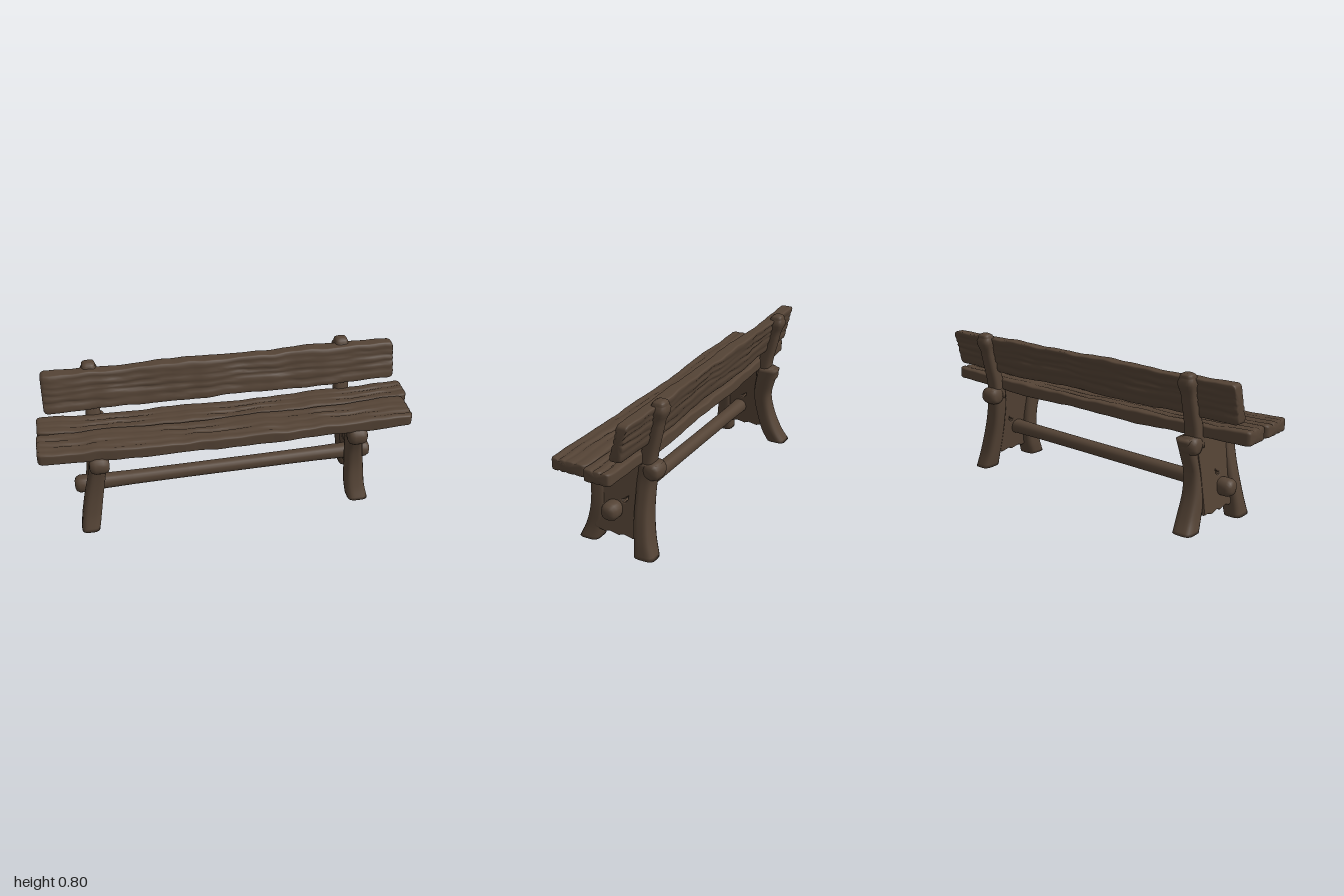
import * as THREE from 'three';

const wood = new THREE.MeshStandardMaterial({ color: 0x544335 });
wood.name = 'darkWood';

// Smooth closed loft. Stations: { p, u, v, hu, hv } = position on the axis, centre and half sizes.
// Axis 'x' uses u = z, v = y; axis 'y' uses u = x, v = z. n sets how square the section is.
function loft(name, axis, stations, { n = 2, sides = 16, carve } = {}) {
  const pos = [], index = [];
  const put = (p, u, v) => (axis === 'x' ? pos.push(p, v, u) : pos.push(u, p, v));
  for (const st of stations) {
    for (let j = 0; j < sides; j++) {
      const a = (j / sides) * Math.PI * 2, c = Math.cos(a), s = Math.sin(a);
      const r = 1 / Math.pow(Math.abs(c) ** n + Math.abs(s) ** n, 1 / n);
      const [du, dv] = carve ? carve(st.p, c * r, s * r) : [0, 0];
      put(st.p, st.u + c * r * st.hu + du, st.v + s * r * st.hv + dv);
    }
  }
  for (let i = 0; i < stations.length - 1; i++) {
    for (let j = 0; j < sides; j++) {
      const a = i * sides + j, b = i * sides + (j + 1) % sides;
      index.push(a, a + sides, b, b, a + sides, b + sides);
    }
  }
  const first = stations[0], last = stations[stations.length - 1];
  const c0 = stations.length * sides, end = c0 - sides;
  put(first.p, first.u, first.v);
  put(last.p, last.u, last.v);
  for (let j = 0; j < sides; j++) {
    const k = (j + 1) % sides;
    index.push(c0, j, k, c0 + 1, end + k, end + j);
  }
  const g = new THREE.BufferGeometry();
  g.setAttribute('position', new THREE.Float32BufferAttribute(pos, 3));
  g.setIndex(index);
  g.computeVertexNormals();
  const mesh = new THREE.Mesh(g, wood);
  mesh.name = name;
  return mesh;
}

const wave = (x, k) => 0.5 * Math.sin(7 * x + k) + 0.3 * Math.sin(17 * x + 2.3 * k) + 0.2 * Math.sin(37 * x + 4.1 * k);

// Weathered plank along x with rounded ends, uneven edges and lengthwise cracks
function plank(name, x0, x1, z, y, hz, hy, { seed, sag = 0, lean = 0, wob = 0.005, face = 'top', cracks = [] }) {
  const stations = [], N = 64;
  const add = (p, k) => stations.push({
    p, u: z + 0.004 * wave(p, seed), v: y + sag * p * p + 0.003 * wave(p, seed + 1),
    hu: (hz + wob * wave(p * 1.3, seed + 2)) * k, hv: (hy + wob * wave(p * 1.3, seed + 3)) * k,
  });
  add(x0, 0.8);
  add(x0 + 0.006, 0.93);
  for (let i = 0; i <= N; i++) add(x0 + 0.02 + (x1 - x0 - 0.04) * i / N, 1);
  add(x1 - 0.006, 0.93);
  add(x1, 0.8);
  const carve = (p, a, b) => {
    const across = face === 'top' ? a : b, out = face === 'top' ? b : a;
    let d = 0;
    for (const c of cracks) {
      const q = (across - c - 0.1 * wave(p, c * 9)) / 0.08;
      d -= 0.009 * Math.exp(-q * q) * (0.7 + 0.3 * Math.sin(9 * p + c * 20));
    }
    d = Math.abs(out) > 0.8 ? d * Math.sign(out) : 0;
    return face === 'top' ? [0, d] : [d - lean * b, 0];
  };
  return loft(name, 'x', stations, { n: 9, sides: 72, carve });
}

// Upright post from rows of [y, x, z, half width, half depth], smoothed by a spline
function post(name, side, rows) {
  const curve = new THREE.CatmullRomCurve3(rows.map(r => new THREE.Vector3(r[1], r[0], r[2])));
  const size = new THREE.CatmullRomCurve3(rows.map(r => new THREE.Vector3(r[3], r[4], 0)));
  const stations = [], N = 24;
  for (let i = 0; i <= N; i++) {
    const c = curve.getPoint(i / N), h = size.getPoint(i / N);
    stations.push({ p: c.y, u: side * c.x, v: c.z, hu: h.x, hv: h.y });
  }
  return loft(name, 'y', stations, { n: 4, sides: 24 });
}

// Rounded wooden bar along x from rows of [x, radius]
function bar(name, rows, yAt, z, n = 2.4) {
  return loft(name, 'x', rows.map(([p, r]) => ({ p, u: z, v: yAt(p), hu: r, hv: r })), { n, sides: 20 });
}

// Trestle panel between two posts, with a knot hole and a ragged lower edge
function panel(side) {
  const s = new THREE.Shape();
  s.moveTo(-0.13, 0.09);
  for (let i = 1; i <= 10; i++) s.lineTo(-0.13 + 0.026 * i, 0.085 + 0.006 * Math.sin(i * 2.1));
  s.lineTo(0.14, 0.3);
  s.lineTo(0.17, 0.475);
  s.lineTo(-0.15, 0.475);
  s.lineTo(-0.135, 0.3);
  s.closePath();
  const hole = new THREE.Path();
  const hz = side > 0 ? -0.026 : 0.0;
  hole.setFromPoints([[-0.024, 0.022], [-0.022, -0.01], [-0.006, -0.026], [0.014, -0.024], [0.024, -0.004], [0.0, 0.006]]
    .map(([a, b]) => new THREE.Vector2(hz + a, 0.27 + b)));
  s.holes.push(hole);
  const g = new THREE.ExtrudeGeometry(s, { depth: 0.04, bevelSize: 0.008, bevelThickness: 0.008, bevelSegments: 2 });
  g.translate(0, 0, -0.02).rotateY(-Math.PI / 2);
  const p = g.attributes.position;
  for (let i = 0; i < p.count; i++) p.setX(i, p.getX(i) + side * (0.675 + 0.06 * (1 - p.getY(i) / 0.47)));
  g.computeVertexNormals();
  const mesh = new THREE.Mesh(g, wood);
  mesh.name = 'trestlePanel';
  return mesh;
}

// Splayed foot post (flared) and straight post, given for +z
const flared = [
  [0.012, 0.71, 0.175, 0.055, 0.055], [0.08, 0.70, 0.148, 0.052, 0.052], [0.2, 0.695, 0.125, 0.048, 0.046],
  [0.3, 0.685, 0.128, 0.045, 0.046], [0.39, 0.675, 0.145, 0.042, 0.052], [0.475, 0.67, 0.17, 0.042, 0.055],
];
const straight = [
  [0.0, 0.75, 0.155, 0.048, 0.057], [0.09, 0.735, 0.14, 0.05, 0.046], [0.2, 0.715, 0.128, 0.048, 0.043],
  [0.3, 0.695, 0.126, 0.045, 0.042], [0.39, 0.68, 0.13, 0.042, 0.045], [0.475, 0.675, 0.15, 0.042, 0.05],
];
const flip = rows => rows.map(([y, x, z, a, b]) => [y, x, -z, a, b]);
const farBack = flip(flared).map(([y, x, z, a, b]) => [y, x - 0.01, z - 0.05 * Math.max(0, 1 - y / 0.3), a, b]);

function trestle(side) {
  const g = new THREE.Group();
  g.name = side > 0 ? 'leftTrestle' : 'rightTrestle';
  g.add(panel(side));
  g.add(post('frontLeg', side, side > 0 ? flared : straight));
  g.add(post('backLeg', side, side > 0 ? flip(straight) : farBack));
  // Swollen tops of the legs below the seat
  for (const z of [0.195, -0.165]) {
    const x = side * 0.675;
    g.add(bar('legKnob', [[x - 0.05, 0.025], [x - 0.042, 0.04], [x - 0.02, 0.047], [x + 0.02, 0.047], [x + 0.042, 0.04], [x + 0.05, 0.025]],
      () => 0.437, z));
  }
  // Leaning post that carries the backrest
  g.add(post('backPost', side, [
    [0.42, 0.675, -0.13, 0.042, 0.04], [0.5, 0.675, -0.137, 0.04, 0.038], [0.6, 0.675, -0.163, 0.037, 0.035],
    [0.7, 0.675, -0.185, 0.037, 0.036], [0.775, 0.675, -0.2, 0.037, 0.036], [0.793, 0.675, -0.203, 0.032, 0.03],
    [0.802, 0.675, -0.204, 0.018, 0.016],
  ]));
  return g;
}

export function createModel() {
  const model = new THREE.Group();
  model.name = 'bench';
  const body = new THREE.Group();
  body.name = 'benchBody';
  body.rotation.y = -0.172;
  model.add(body);

  // Seat
  body.add(plank('backSeatPlank', -0.97, 0.995, -0.05, 0.493, 0.073, 0.033, { seed: 1, sag: 0.018, cracks: [-0.3, 0.35] }));
  body.add(plank('frontSeatPlank', -0.975, 0.965, 0.122, 0.495, 0.094, 0.035, { seed: 4, sag: 0.018, cracks: [-0.45, 0.1, 0.6] }));
  // Backrest
  body.add(plank('backrest', -0.925, 0.95, -0.143, 0.677, 0.034, 0.1,
    { seed: 7, lean: 0.023, wob: 0.006, face: 'side', cracks: [-0.5, -0.05, 0.3, 0.65] }));
  // Trestles
  for (const side of [1, -1]) body.add(trestle(side));
  // Stretcher through both trestles
  const half = [[0.81, 0.02], [0.803, 0.036], [0.785, 0.045], [0.75, 0.046], [0.72, 0.041], [0.5, 0.037], [0.2, 0.036]];
  body.add(bar('stretcher', [...half.map(([x, r]) => [-x, r]), ...half.slice().reverse()], x => 0.201 + 0.015 * x, 0.025));
  return model;
}
